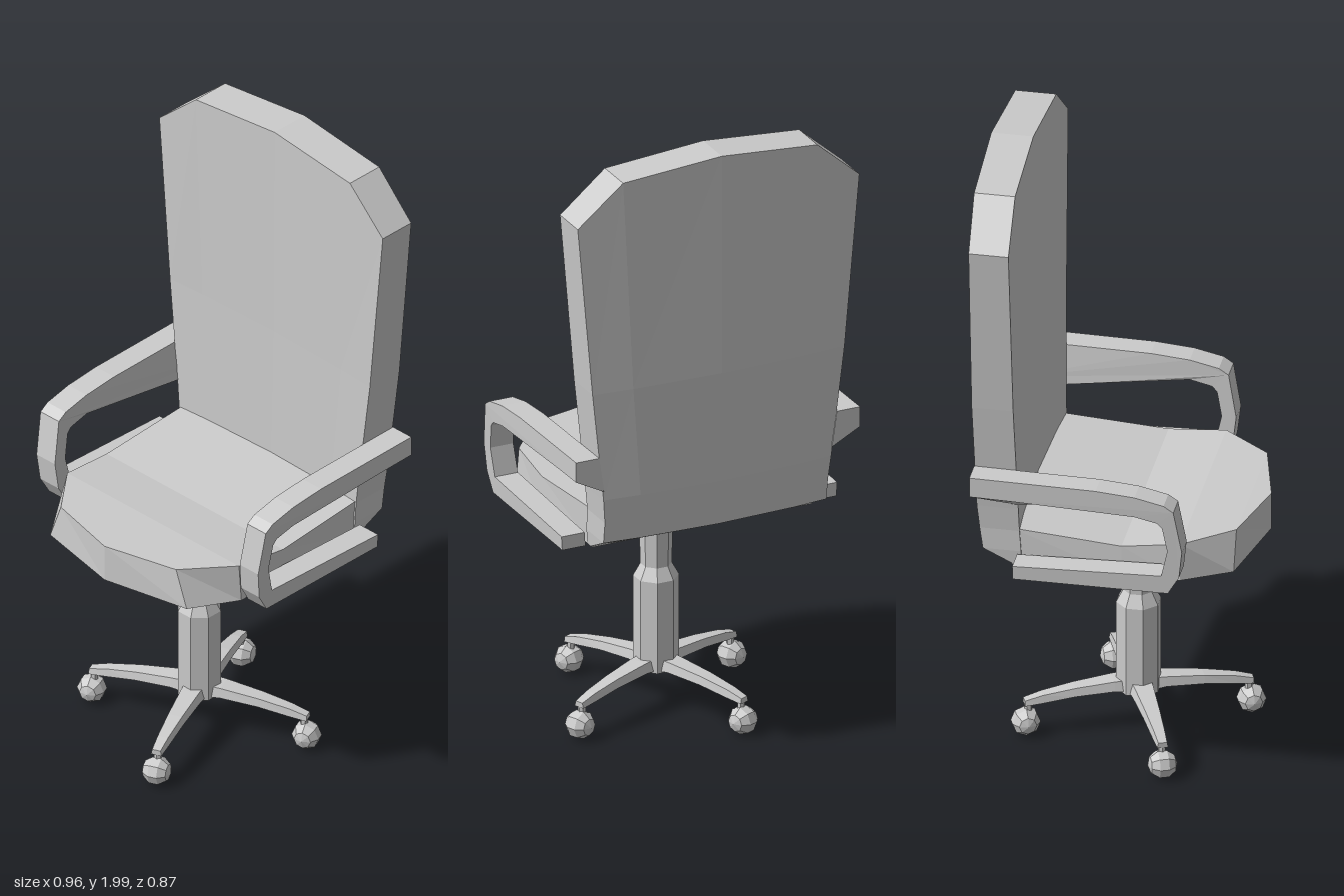
import * as THREE from 'three';

const material = new THREE.MeshStandardMaterial({
  color: 0xcccccc, flatShading: true, side: THREE.DoubleSide,
});

function part(name, geometry) {
  const mesh = new THREE.Mesh(geometry, material);
  mesh.name = name;
  return mesh;
}

// Skin a row of equal-sized loops (counterclockwise seen from the last loop) and cap both ends.
function loft(loops) {
  const n = loops[0].length, out = [];
  const quad = (a, b, c, d) => out.push(...a, ...b, ...c, ...a, ...c, ...d);
  for (let i = 0; i < loops.length - 1; i++) {
    const p = loops[i], q = loops[i + 1];
    for (let j = 0; j < n; j++) quad(p[j], p[(j + 1) % n], q[(j + 1) % n], q[j]);
  }
  const first = loops[0], last = loops[loops.length - 1];
  for (let j = 0; j < n / 2 - 1; j++) {
    quad(first[n - 1 - j], first[n - 2 - j], first[j + 1], first[j]);
    quad(last[j], last[j + 1], last[n - 2 - j], last[n - 1 - j]);
  }
  const geometry = new THREE.BufferGeometry();
  geometry.setAttribute('position', new THREE.Float32BufferAttribute(out, 3));
  geometry.computeVertexNormals();
  return geometry;
}

// Seat cushion: sections along z, slightly dished, ending in a blunt point.
function seat() {
  const rows = [ // z, top half width, bottom half width, top y
    [-0.3, 0.37, 0.37, 0.845], [0.04, 0.375, 0.38, 0.82], [0.22, 0.365, 0.375, 0.84],
    [0.37, 0.245, 0.29, 0.842], [0.43, 0.002, 0.002, 0.842],
  ];
  return part('seat', loft(rows.map(([z, t, b, y]) =>
    [[-b, 0.72, z], [b, 0.72, z], [t, y, z], [-t, y, z]])));
}

// Backrest: sections going up, bowed to the rear, with a clipped top outline.
function backrest() {
  const rows = [ // y, half width, front z, rear z
    [0.72, 0.372, -0.285, -0.305], [0.77, 0.376, -0.285, -0.41], [0.84, 0.376, -0.29, -0.42],
    [0.92, 0.384, -0.292, -0.427], [1.28, 0.425, -0.3, -0.435], [1.84, 0.475, -0.305, -0.435],
  ];
  const columns = [-1, -0.69, 0, 0.69, 1];
  const crown = [0, 0.13, 0.16, 0.13, 0];
  return part('backrest', loft(rows.map(([y, w, front, rear], r) => {
    const top = r === rows.length - 1;
    const edge = (z, bow) => columns.map((f, i) =>
      [f * w, y + (top ? crown[i] : 0), z + bow * f * f]);
    return [...edge(front, 0.015), ...edge(rear, r ? 0.022 : 0.015).reverse()];
  })));
}

// Armrest: C-shaped side profile, leaning inward at the bottom and flared toward the backrest.
function armrest(side) {
  const profile = [ // z, y
    [-0.41, 1.065], [-0.02, 1.06], [0.1, 1.05], [0.19, 1.03], [0.22, 1.01],
    [0.245, 0.87], [0.235, 0.78], [0.2, 0.72], [-0.28, 0.72], [-0.28, 0.765],
    [0.18, 0.78], [0.2, 0.87], [0.185, 0.95], [0.17, 0.967], [0.1, 0.983],
    [-0.28, 0.997], [-0.41, 1.0],
  ];
  const shape = new THREE.Shape(profile.map(([z, y]) => new THREE.Vector2(z, y)));
  const geometry = new THREE.ExtrudeGeometry(shape, { depth: 0.078, bevelEnabled: false });
  geometry.rotateY(-Math.PI / 2).translate(0.039 + side * 0.44, 0, 0);
  const p = geometry.attributes.position;
  for (let i = 0; i < p.count; i++) {
    let x = Math.abs(p.getX(i)), y = p.getY(i);
    const z = p.getZ(i);
    const inner = x < 0.44;
    x -= 0.06 * Math.max(0, 1 - y);
    if (inner && z < -0.25 && y > 0.95 && y < 1.02) {
      y -= z < -0.35 ? 0.05 : 0.062;
      x -= 0.017;
    }
    p.setXYZ(i, side * x, y, z);
  }
  geometry.computeVertexNormals();
  return part(side > 0 ? 'leftArmrest' : 'rightArmrest', geometry);
}

// Gas-lift column with its wider lower sleeve.
function column() {
  const profile = [[0, 0.13], [0.07, 0.13], [0.07, 0.43], [0.048, 0.47], [0.055, 0.73]];
  return part('column', new THREE.LatheGeometry(
    profile.map(([r, y]) => new THREE.Vector2(r, y)), 8, Math.PI / 8));
}

// One arched base leg, with a stem and a faceted caster at its tip.
function leg(angle) {
  const rows = [ // distance, half width, bottom y, top y
    [0, 0.042, 0.13, 0.172], [0.08, 0.036, 0.138, 0.168], [0.2, 0.028, 0.13, 0.156],
    [0.3, 0.021, 0.115, 0.14], [0.355, 0.017, 0.108, 0.125],
  ];
  const group = new THREE.Group();
  group.name = 'baseLeg';
  group.add(part('legBeam', loft(rows.map(([z, w, b, t]) =>
    [[-w, b, z], [w, b, z], [w * 0.8, t, z], [-w * 0.8, t, z]]))));
  const stem = part('casterStem', new THREE.CylinderGeometry(0.012, 0.012, 0.05, 6));
  stem.position.set(0, 0.095, 0.342);
  const caster = part('caster', new THREE.SphereGeometry(0.046, 8, 5));
  caster.geometry.rotateZ(Math.PI / 2);
  caster.position.set(0, 0.05, 0.35);
  group.add(stem, caster);
  group.rotation.y = angle;
  return group;
}

export function createModel() {
  const chair = new THREE.Group();
  chair.name = 'officeChair';
  chair.add(seat(), backrest(), armrest(1), armrest(-1));

  const base = new THREE.Group();
  base.name = 'base';
  base.position.z = 0.02;
  base.add(column());
  for (let i = 0; i < 4; i++) base.add(leg(0.4 + i * Math.PI / 2));
  chair.add(base);
  return chair;
}
